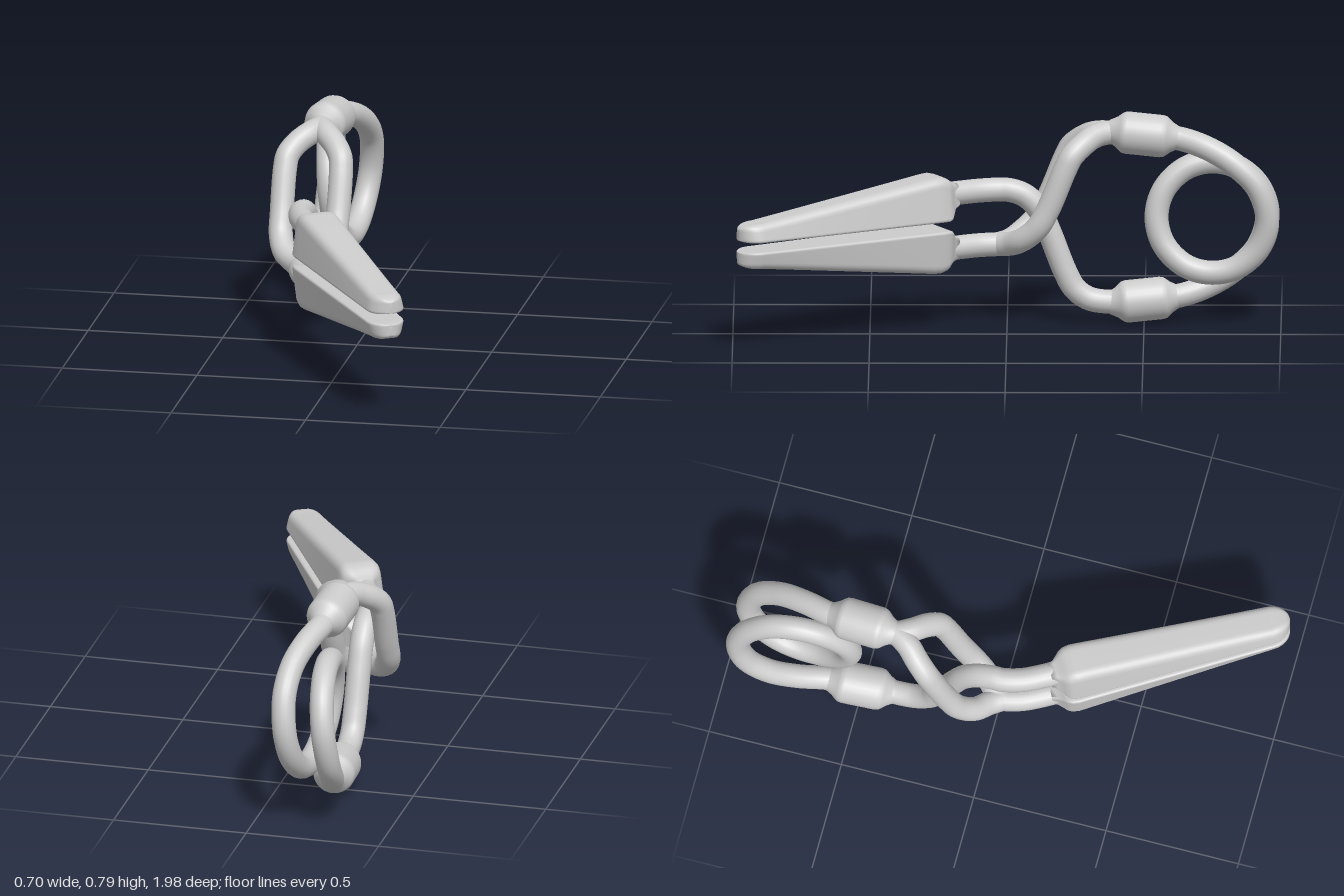
import * as THREE from 'three';

const X0 = -0.205, C = 0.398, R = 0.044; // spring axis, mid height, wire radius
const mat = new THREE.MeshStandardMaterial({ color: 0xcccccc });

function add(parent, name, geometry) {
  const mesh = new THREE.Mesh(geometry, mat);
  mesh.name = name;
  parent.add(mesh);
  return mesh;
}

// Points are [offset from X0, offset from C, z]
const toVec = ([x, y, z]) => new THREE.Vector3(X0 + x, C + y, z);
const halfTurn = ([x, y, z]) => [-x, -y, z];

function wire(points, segments) {
  const curve = new THREE.CatmullRomCurve3(points.map(toVec), false, 'centripetal');
  return new THREE.TubeGeometry(curve, segments, R, 20);
}

// Rounded trapezoid: half width w, from v0 to v1, flat inner side at v0
function section(w, v0, v1) {
  const h = v1 - v0, top = w * 0.78;
  const corners = [[w, v0], [top, v1], [-top, v1], [-w, v0]].map(p => new THREE.Vector2(...p));
  const radii = [0.012, 0.035, 0.035, 0.012].map(r => Math.min(r, h * 0.4, w * 0.4));
  const pts = [];
  corners.forEach((c, i) => {
    const toward = n => n.clone().sub(c).setLength(radii[i]).add(c);
    const a = toward(corners[(i + 3) % 4]), b = toward(corners[(i + 1) % 4]);
    pts.push(...new THREE.QuadraticBezierCurve(a, c, b).getPoints(6));
  });
  return pts;
}

// Tapering jaw, lofted along +z from the stem flare to the rounded tip
function jawGeometry() {
  const stations = [ // z, half width, inner height, outer height
    [-0.05, 0.04, 0.042, 0.125], [-0.03, 0.048, 0.034, 0.13], [-0.012, 0.068, 0.014, 0.14],
    [0, 0.082, 0.004, 0.149], [0.015, 0.09, 0, 0.157], [0.04, 0.093, 0, 0.163], [0.07, 0.092, 0, 0.161],
  ];
  for (let i = 1; i <= 6; i++) {
    const t = i / 6;
    stations.push([0.07 + 0.71 * t, 0.092 - 0.02 * t, 0, 0.161 - 0.094 * t]);
  }
  for (let i = 1; i <= 8; i++) {
    const a = i / 8 * 1.5;
    stations.push([0.78 + 0.077 * Math.sin(a), 0.072 * Math.cos(a), 0.006 * (i / 8) ** 3, 0.067 - 0.024 * (i / 8) ** 2]);
  }
  const pos = [], index = [];
  let n = 0;
  stations.forEach(([z, w, v0, v1], j) => {
    const pts = section(w, v0, v1);
    n = pts.length;
    pts.forEach(p => pos.push(p.x, p.y, z));
    if (j === 0) return;
    for (let i = 0; i < n; i++) {
      const k = (i + 1) % n, a = (j - 1) * n, b = j * n;
      index.push(a + i, a + k, b + k, a + i, b + k, b + i);
    }
  });
  // End caps
  const last = (stations.length - 1) * n;
  for (let i = 1; i < n - 1; i++) {
    index.push(0, i + 1, i, last, last + i, last + i + 1);
  }
  const g = new THREE.BufferGeometry();
  g.setAttribute('position', new THREE.Float32BufferAttribute(pos, 3));
  g.setIndex(index);
  g.computeVertexNormals();
  return g;
}

// Thick sleeve turned around the line from a to b
function collar(parent, name, a, b) {
  const from = toVec(a), to = toVec(b);
  const L = from.distanceTo(to);
  const half = [[0.04, 0], [0.046, 0.012], [0.056, 0.03], [0.068, 0.044], [0.075, 0.054], [0.078, 0.068]];
  const profile = [...half, ...half.map(([r, y]) => [r, L - y]).reverse()];
  const mesh = add(parent, name, new THREE.LatheGeometry(profile.map(p => new THREE.Vector2(...p)), 32));
  mesh.position.copy(from);
  mesh.quaternion.setFromUnitVectors(new THREE.Vector3(0, 1, 0), to.sub(from).normalize());
}

export function createModel() {
  const group = new THREE.Group();
  group.name = 'springClamp';

  // Jaws: the lower one is the upper one rolled half a turn
  const jaw = jawGeometry();
  for (const s of [1, -1]) {
    const mesh = add(group, s > 0 ? 'upperJaw' : 'lowerJaw', jaw);
    mesh.position.set(-0.115, C + s * 0.0175, 0.235);
    mesh.rotation.set(0, Math.PI / 6, s > 0 ? 0 : Math.PI);
  }

  // Stems bending from the jaws to the spring axis
  const stem = s => [[0.1, 0.102 * s, 0.25], [0.055, 0.102 * s, 0.175], [0.018, 0.102 * s, 0.1], [0, 0.102 * s, 0.03]];

  // Single crossing wire, from the upper jaw to the lower collar
  add(group, 'crossingWire', wire([...stem(1), [0, 0.1, -0.01], [0, 0.08, -0.065], [0, 0.03, -0.115],
    [0, -0.05, -0.152], [0, -0.2, -0.21], [0, -0.265, -0.245], [0, -0.303, -0.295], [0, -0.316, -0.36], [0, -0.314, -0.42]], 80));

  // Split link, from the lower jaw to the upper collar
  add(group, 'linkStem', wire([...stem(-1), [0, -0.1, 0]], 30));
  for (const s of [1, -1]) {
    add(group, s > 0 ? 'leftLinkBar' : 'rightLinkBar', wire([
      [0, -0.102, 0.03], [0.03, -0.094, -0.01], [0.075, -0.07, -0.055], [0.1, -0.02, -0.11], [0.104, 0.05, -0.15],
      [0.104, 0.2, -0.212], [0.098, 0.245, -0.235], [0.07, 0.282, -0.275], [0.03, 0.308, -0.32], [0, 0.316, -0.375], [0, 0.315, -0.42],
    ].map(([x, y, z]) => [x * s, y, z]), 70));
  }

  // Collars
  const ends = [[-0.002, 0.322, -0.37], [0.018, 0.299, -0.63]];
  collar(group, 'upperCollar', ...ends);
  collar(group, 'lowerCollar', ...ends.map(halfTurn));

  // Spring coil: half of the path, then the same half turned about the z axis
  const half = [[0.01, 0.303, -0.56], [0.018, 0.297, -0.63], [0.048, 0.268, -0.73], [0.075, 0.212, -0.83],
    [0.083, 0.125, -0.916], [0.073, 0, -0.95], [0.059, -0.105, -0.917], [0.046, -0.178, -0.838],
    [0.036, -0.2, -0.745], [0.026, -0.176, -0.65], [0.012, -0.1, -0.572]];
  add(group, 'springCoil', wire([...half, [0, 0, -0.545], ...half.map(halfTurn).reverse()], 200));

  return group;
}
